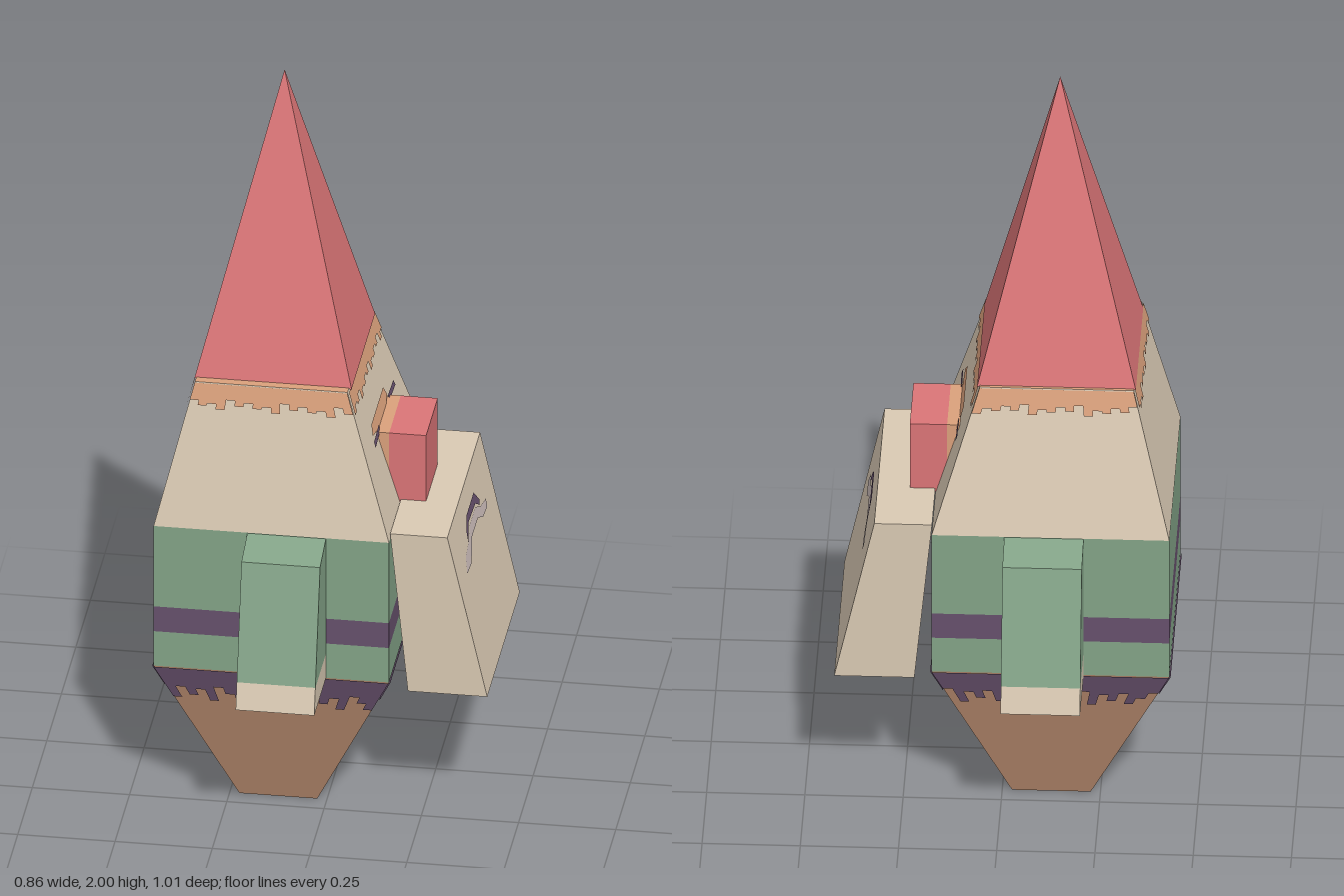
import * as THREE from 'three';

const mat = (name, color, side = THREE.FrontSide) => {
  const m = new THREE.MeshStandardMaterial({ color, side });
  m.name = name;
  return m;
};

export function createModel() {
  const red = mat('hat red', 0xdb7577);
  const beige = mat('beard beige', 0xd9c9b3);
  const green = mat('coat green', 0x83a387);
  const brown = mat('trouser brown', 0xb5896d);
  const purple = mat('belt purple', 0x66506c);
  const peach = mat('skin peach', 0xdba17c);
  const purplePaint = mat('painted purple', 0x66506c, THREE.DoubleSide);
  const peachPaint = mat('painted peach', 0xdba17c, THREE.DoubleSide);
  const lilacPaint = mat('painted lilac', 0xc9bab8, THREE.DoubleSide);

  const model = new THREE.Group();
  const add = (name, geometry, material, parent = model) => {
    const mesh = new THREE.Mesh(geometry, material);
    mesh.name = name;
    parent.add(mesh);
    return mesh;
  };

  // Block between two rectangles [x0, x1, z0, z1] at heights y0 and y1
  const block = (y0, bottom, y1, top) => {
    const rect = (y) => bottom.map((b, i) => b + (top[i] - b) * (y - y0) / (y1 - y0));
    const geometry = new THREE.BoxGeometry(1, 1, 1);
    const p = geometry.attributes.position;
    for (let i = 0; i < p.count; i++) {
      const r = p.getY(i) > 0 ? top : bottom;
      p.setXYZ(i, r[p.getX(i) > 0 ? 1 : 0], p.getY(i) > 0 ? y1 : y0, r[p.getZ(i) > 0 ? 3 : 2]);
    }
    geometry.computeVertexNormals();
    return { geometry, rect };
  };

  // Flat painted polygon on a block side; sides: 0 left x, 1 right x, 2 back z, 3 front z
  const paint = (name, rect, side, points, material, lift = 0.004) => {
    const geometry = new THREE.ShapeGeometry(
      new THREE.Shape(points.map(([u, y]) => new THREE.Vector2(u, y))));
    const p = geometry.attributes.position;
    for (let i = 0; i < p.count; i++) {
      const u = p.getX(i), y = p.getY(i);
      const out = rect(y)[side] + (side % 2 ? lift : -lift);
      if (side < 2) p.setXYZ(i, out, y, u);
      else p.setXYZ(i, u, y, out);
    }
    geometry.computeVertexNormals();
    // Turn the polygon so that its normal points outwards
    const n = geometry.attributes.normal.getComponent(0, side < 2 ? 0 : 2);
    if (n > 0 !== (side % 2 === 1)) {
      geometry.index.array.reverse();
      geometry.computeVertexNormals();
    }
    add(name, geometry, material);
  };

  // Ragged band hanging from the top edge on all four sides
  const fringe = (name, rect, top, drops, teeth, material) => {
    for (let side = 0; side < 4; side++) {
      const at = (t, y) => {
        const r = rect(y), k = side < 2 ? 2 : 0;
        return [r[k] + (r[k + 1] - r[k]) * t, y];
      };
      const points = [at(1, top), at(0, top)];
      for (let i = 0; i < teeth; i++) {
        const y = top - drops[(i + side * 2) % drops.length];
        points.push(at(i / teeth, y), at((i + 0.98) / teeth, y));
      }
      paint(name, rect, side, points, material);
    }
  };

  // Trousers, purple underneath
  const waist = [-0.43, 0.175, -0.305, 0.305];
  const trousers = block(0, [-0.225, -0.025, -0.2, 0.2], 0.41, waist);
  add('trousers', trousers.geometry, [brown, brown, brown, purple, brown, brown]);
  fringe('trouserFringe', trousers.rect, 0.409,
    [0.06, 0.085, 0.065, 0.1, 0.055, 0.075, 0.095], 22, purplePaint);
  paint('trouserPatch', trousers.rect, 1, [[0.11, 0.36], [-0.1, 0.36], [-0.03, 0.32],
    [0.01, 0.28], [0.04, 0.27], [0.04, 0.2], [0.075, 0.21], [0.065, 0.29], [0.1, 0.31]], purplePaint, 0.006);
  paint('trouserSeam', trousers.rect, 1,
    [[0.042, 0.2], [0.02, 0.2], [-0.025, 0.003], [0, 0.003]], purplePaint);

  // Coat with a belt stripe
  [['coatHem', 0.41, 0.51, green], ['coatStripe', 0.51, 0.582, purple], ['coatTop', 0.582, 0.815, green]]
    .forEach(([name, y0, y1, m]) => add(name, block(y0, waist, y1, waist).geometry, m));

  // Head
  const head = block(0.815, waist, 1.2, [-0.335, 0.057, -0.208, 0.228]);
  add('head', head.geometry, [beige, beige, peach, beige, beige, beige]);
  fringe('hairline', head.rect, 1.199, [0.045, 0.058, 0.052, 0.066, 0.04, 0.055], 18, peachPaint);

  // Eyes and brow on the face
  paint('brow', head.rect, 1, [[0.15, 1.035], [0.13, 1.057], [-0.07, 1.057], [-0.085, 1.03],
    [-0.05, 1.02], [0.08, 1.02]], peachPaint, 0.003);
  for (const s of [-1, 1]) {
    paint('eye', head.rect, 1, [[0.075 * s, 1.03], [0.165 * s, 1.027], [0.17 * s, 1.012], [0.09 * s, 1.015]],
      purplePaint, 0.006);
  }

  // Nose, skin coloured at its root
  const root = [0.11, 0.145, -0.1, 0.1], tip = [0.145, 0.24, -0.1, 0.1];
  add('noseRoot', block(0.82, root, 1.02, root).geometry, peach);
  add('nose', block(0.82, tip, 1.02, tip).geometry, red);

  // Beard with a mouth
  const beard = block(0.375, [0.22, 0.424, -0.28, 0.28], 0.83, [0.175, 0.322, -0.28, 0.284]);
  add('beard', beard.geometry, beige);
  paint('mouth', beard.rect, 1, [[0.11, 0.72], [0.1, 0.75], [0.065, 0.776], [-0.06, 0.776], [-0.1, 0.735],
    [-0.09, 0.725], [-0.05, 0.75], [0.06, 0.755]], purplePaint);
  paint('mouthShade', beard.rect, 1, [[0.185, 0.675], [0.16, 0.71], [0.09, 0.72], [0.05, 0.74], [-0.05, 0.74],
    [-0.1, 0.715], [-0.17, 0.7], [-0.165, 0.68], [-0.1, 0.685], [-0.05, 0.71], [0.05, 0.71], [0.12, 0.67]],
    lilacPaint, 0.002);

  // Sleeves with cuffs, one on each side
  const sleeve = [[0.3, 0.48], [0.487, 0.48], [0.406, 0.785], [0.3, 0.815]];
  const cuff = [[0.3, 0.41], [0.506, 0.41], [0.487, 0.48], [0.3, 0.48]];
  for (const s of [1, -1]) {
    const arm = new THREE.Group();
    arm.name = s > 0 ? 'rightArm' : 'leftArm';
    for (const [name, profile, m] of [['sleeve', sleeve, green], ['cuff', cuff, beige]]) {
      const shape = new THREE.Shape(profile.map(([z, y]) => new THREE.Vector2(z, y)));
      const geometry = new THREE.ExtrudeGeometry(shape, { depth: 0.202, bevelEnabled: false });
      add(name, geometry.rotateY(-s * Math.PI / 2), m, arm);
    }
    arm.position.x = s > 0 ? 0.013 : -0.212;
    model.add(arm);
  }

  // Pointed four-sided hat
  add('hat', block(1.197, [-0.34, 0.064, -0.2, 0.205], 2, [-0.138, -0.138, 0.005, 0.005]).geometry, red);

  return model;
}
